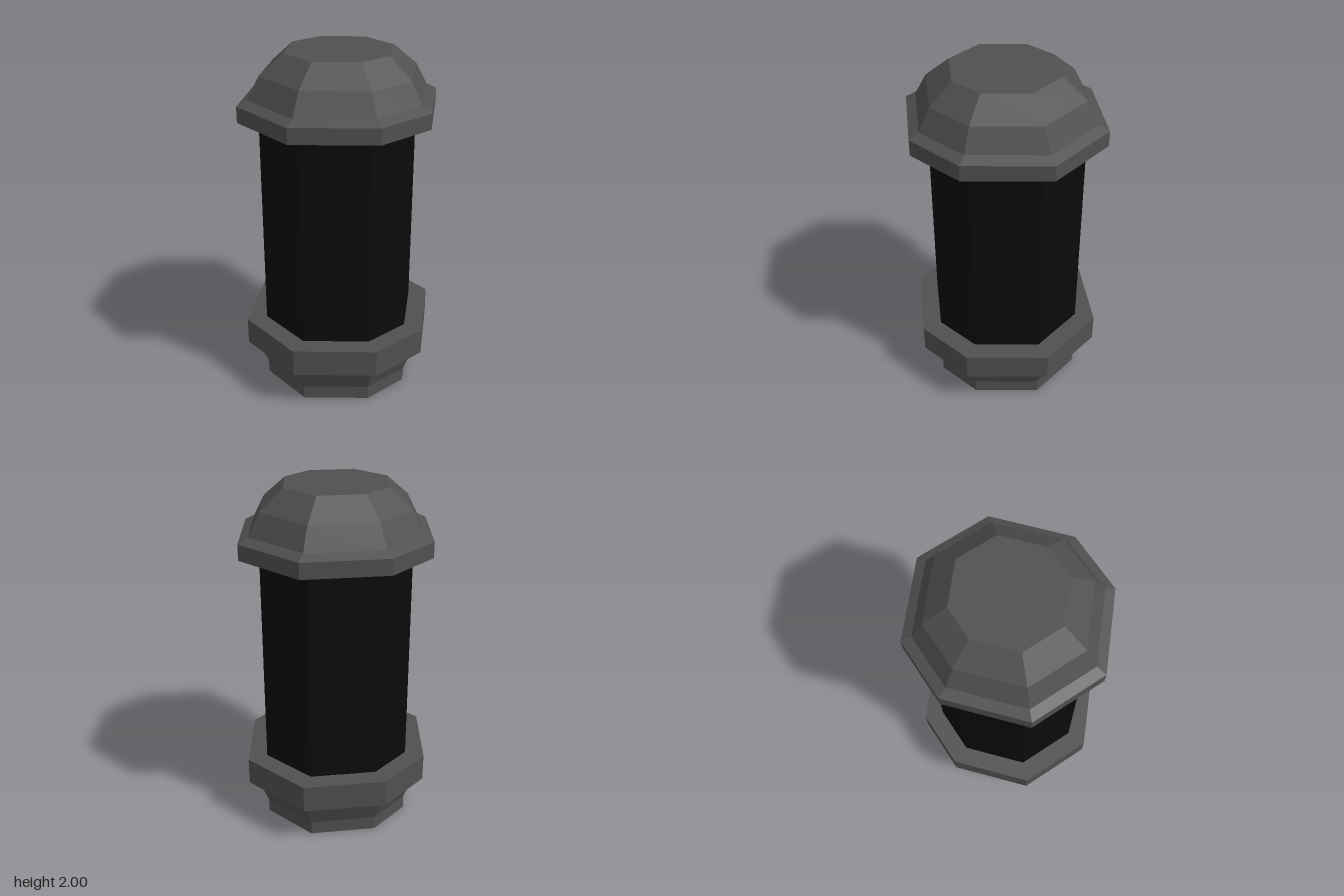
import * as THREE from 'three';

const steel = new THREE.MeshStandardMaterial({ color: 0x505050 });
steel.name = 'dark grey metal';
const black = new THREE.MeshStandardMaterial({ color: 0x0b0b0b });
black.name = 'black glass';

// Half side lengths of the slightly uneven octagon, relative to its apothem
const FRONT_HALF = 0.335;
const SIDE_HALF = 0.415;

// Eight-sided turned part; the profile holds [apothem, height] from bottom to top
function octagonPart(name, material, profile) {
  const points = profile.map(([r, y]) => new THREE.Vector2(r, y));
  const lathe = new THREE.LatheGeometry(points, 8, Math.PI / 8);
  const pos = lathe.attributes.position;
  for (let i = 0; i < pos.count; i++) {
    const x = pos.getX(i), z = pos.getZ(i);
    const a = Math.hypot(x, z);
    // Move each corner onto the uneven octagon
    if (Math.abs(z) > Math.abs(x)) {
      pos.setX(i, Math.sign(x) * a * FRONT_HALF);
      pos.setZ(i, Math.sign(z) * a);
    } else {
      pos.setX(i, Math.sign(x) * a);
      pos.setZ(i, Math.sign(z) * a * SIDE_HALF);
    }
  }
  // Separate faces give flat facets
  const geometry = lathe.toNonIndexed();
  geometry.computeVertexNormals();
  const mesh = new THREE.Mesh(geometry, material);
  mesh.name = name;
  return mesh;
}

export function createModel() {
  const model = new THREE.Group();
  model.name = 'canister';
  model.add(
    // Tapered foot with closed underside
    octagonPart('foot', steel, [[0, 0], [0.425, 0], [0.425, 0.08], [0.485, 0.24]]),
    // Wide collar holding the tube
    octagonPart('lowerCollar', steel, [[0.485, 0.24], [0.535, 0.24], [0.535, 0.4], [0.425, 0.4]]),
    octagonPart('tube', black, [[0.425, 0.4], [0.425, 1.64]]),
    // Upper rim with bevelled top
    octagonPart('upperCollar', steel, [[0.425, 1.64], [0.535, 1.64], [0.535, 1.73], [0.48, 1.76]]),
    // Faceted lid
    octagonPart('dome', steel, [[0.48, 1.76], [0.417, 1.885], [0.29, 2], [0, 2]])
  );
  return model;
}
